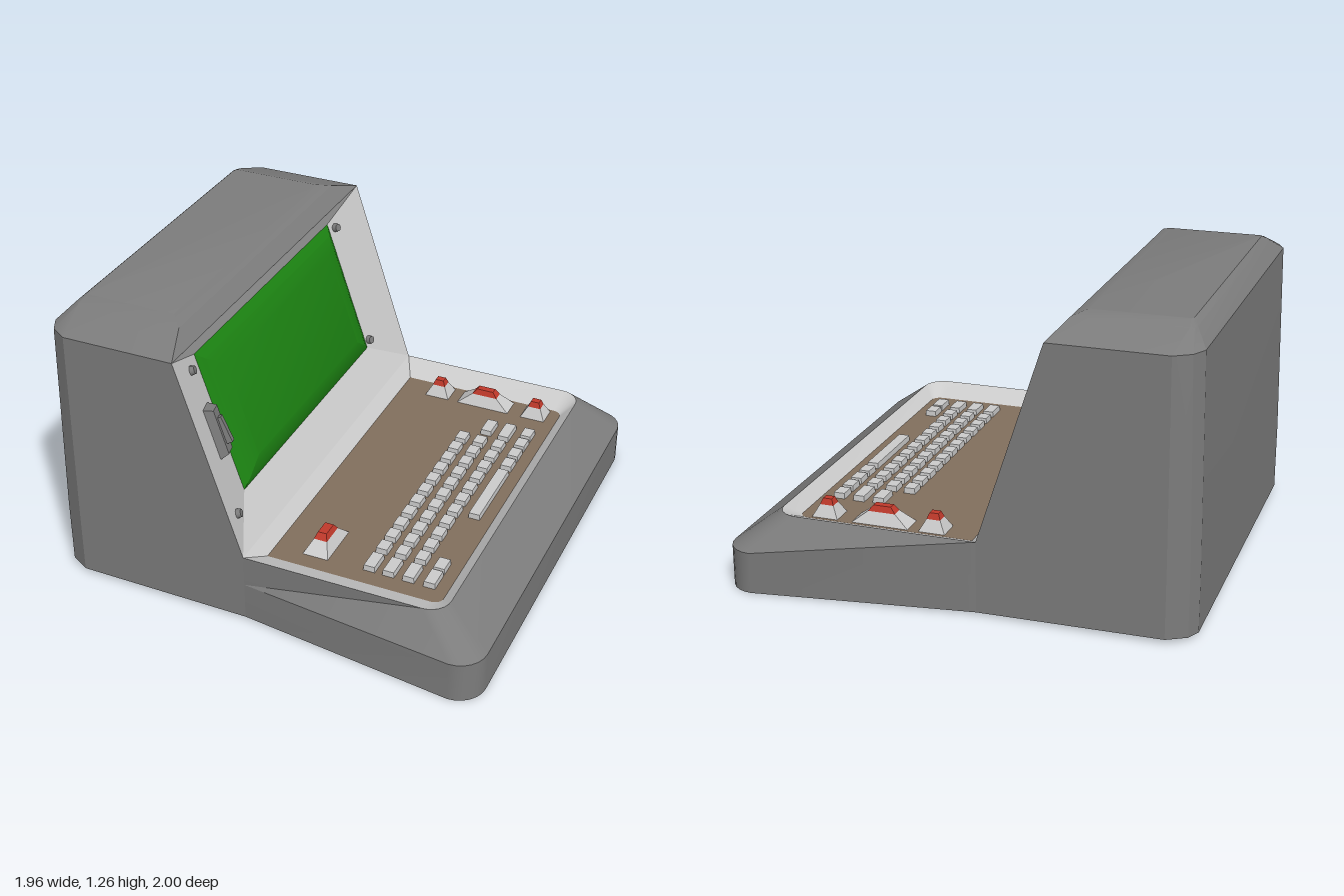
import * as THREE from 'three';
import { toCreasedNormals } from 'three/addons/utils/BufferGeometryUtils.js';

const paint = (color) => new THREE.MeshStandardMaterial({ color });
const SHELL = paint(0x7c7c7c), LIGHT = paint(0xcccccc), BROWN = paint(0x826f5d);
const GREEN = paint(0x1c8212), RED = paint(0xc0392b);

// Joins rings of [x, y, z] points into a skin, with optional flat caps.
function loft(rings, { closed = true, start = false, end = false } = {}) {
  const pos = [];
  const tri = (...pts) => pts.forEach((p) => pos.push(...p));
  const n = rings[0].length;
  for (let i = 0; i < rings.length - 1; i++) {
    for (let j = 0; j < (closed ? n : n - 1); j++) {
      const k = (j + 1) % n;
      const [a, b, c, d] = [rings[i][j], rings[i][k], rings[i + 1][k], rings[i + 1][j]];
      tri(a, b, c);
      tri(a, c, d);
    }
  }
  const last = rings[rings.length - 1];
  for (let j = 1; j < n - 1; j++) {
    if (start) tri(rings[0][0], rings[0][j + 1], rings[0][j]);
    if (end) tri(last[0], last[j], last[j + 1]);
  }
  const geo = new THREE.BufferGeometry();
  geo.setAttribute('position', new THREE.Float32BufferAttribute(pos, 3));
  return toCreasedNormals(geo, 0.35);
}

function add(parent, name, geo, mat, x = 0, y = 0, z = 0) {
  const mesh = new THREE.Mesh(geo, mat);
  mesh.name = name;
  mesh.position.set(x, y, z);
  parent.add(mesh);
  return mesh;
}

// Horizontal rectangle ring, and a block tapering from one to another.
const rect = (w, d, y) => [[-w / 2, y, d / 2], [w / 2, y, d / 2], [w / 2, y, -d / 2], [-w / 2, y, -d / 2]];
const frustum = (w, d, w2, d2, h) => loft([rect(w, d, 0), rect(w2, d2, h)], { start: true, end: true });

// Keyboard outline: straight back, flared sides, rounded front corners.
function deckRing(xBack, zBack, xFront, zFront, r, y) {
  const half = [[xBack, zBack]];
  for (let i = 0; i <= 6; i++) {
    const a = (Math.PI / 2) * (1 - i / 6);
    half.push([xFront - r + r * Math.cos(a), zFront - r + r * Math.sin(a)]);
  }
  const all = [...half, ...half.slice().reverse().map(([x, z]) => [x, -z])];
  return all.map(([x, z]) => [x, typeof y === 'function' ? y(x) : y, z]);
}

// Tower outline, running from the front of the -z side round the back to +z.
function towerRing(y, xFront, z, xBack, zBack, xMid, zMid, xSide) {
  const half = [[xFront, z], [xSide, z], [xMid, zMid], [xBack, zBack]];
  const all = [...half.map(([x, w]) => [x, -w]), ...half.slice().reverse()];
  return all.map(([x, w]) => [x, typeof y === 'function' ? y(x) : y, w]);
}

// Sloping monitor face: outer edge line and recessed inner edge line.
const outerX = (y) => -0.09 - (y - 0.32) * 0.3256;
const innerX = (y) => -0.205 - (y - 0.47) * 0.336;
const panelX = (y, z) => THREE.MathUtils.lerp(outerX(y), innerX(y), (0.885 - Math.abs(z)) / 0.245);
const faceRing = (hz, lo, hi, fx) =>
  [[hz, lo], [-hz, lo], [-hz, hi], [hz, hi]].map(([z, y]) => [fx(y), y, z]);

export function createModel() {
  const model = new THREE.Group();
  model.name = 'desktopTerminal';
  const floorY = 0.27;
  const under = (x) => 0.01 * (0.98 - x);

  // Keyboard deck with its sunken well
  const rim = deckRing(-0.09, 0.885, 0.79, 0.885, 0.09, 0.32);
  const floor = deckRing(-0.035, 0.775, 0.735, 0.775, 0.04, floorY);
  add(model, 'keyboardShell', loft([
    deckRing(-0.09, 0.885, 0.98, 1, 0.12, under),
    deckRing(-0.09, 0.885, 0.98, 1, 0.12, 0.18),
    rim,
  ], { start: true }), SHELL);
  add(model, 'keyboardWell', loft([rim, floor]), LIGHT);
  add(model, 'keyboardPanel', loft([floor], { end: true }), BROWN);

  // Monitor housing: open-fronted walls and a bevelled roof
  const eaves = towerRing(1.18, -0.37, 0.885, -0.968, 0.775, -0.935, 0.84, -0.865);
  const walls = (y) => towerRing(y, -0.09, 0.885, -0.982, 0.785, -0.953, 0.84, -0.87);
  add(model, 'monitorWalls', loft([walls(under), walls(0.32), eaves], { closed: false, start: true }), SHELL);
  add(model, 'monitorRoof', loft([
    eaves,
    towerRing(1.24, -0.425, 0.72, -0.912, 0.68, -0.905, 0.7, -0.89),
    towerRing(1.26, -0.48, 0.66, -0.89, 0.64, -0.887, 0.653, -0.88),
  ], { end: true }), SHELL);

  // Bezel and bulging screen
  add(model, 'screenBezel', loft([
    faceRing(0.885, 0.32, 1.18, outerX),
    faceRing(0.64, 0.47, 1.08, innerX),
  ]), LIGHT);
  add(model, 'screen', loft([
    faceRing(0.64, 0.47, 1.08, innerX),
    faceRing(0.6, 0.505, 1.045, (y) => innerX(y) + 0.02),
    faceRing(0.51, 0.57, 0.985, (y) => innerX(y) + 0.04),
  ], { end: true }), GREEN);

  // Fittings that lie on the angled side panels of the bezel
  const onPanel = (name, y, z) => {
    const g = new THREE.Group();
    g.name = name;
    g.position.set(panelX(y, z), y, z);
    g.rotation.set(0, Math.sign(z) * 0.27, 0.32, 'ZYX');
    model.add(g);
    return g;
  };
  for (const [y, z] of [[1.06, 0.73], [1.05, -0.68], [0.5, -0.665], [0.46, 0.79]]) {
    const screw = onPanel('bezelScrew', y, z);
    add(screw, 'screwHead', new THREE.CylinderGeometry(0.017, 0.021, 0.024, 12), SHELL, 0.008).rotation.z = -Math.PI / 2;
  }
  const latch = onPanel('powerSwitch', 0.79, 0.722);
  add(latch, 'switchPlate', frustum(0.23, 0.075, 0.2, 0.06, 0.04), SHELL).rotation.z = -Math.PI / 2;
  add(latch, 'switchRocker', new THREE.BoxGeometry(0.03, 0.12, 0.026), SHELL, 0.045).rotation.z = 0.1;

  // Red buttons on tapered plinths: x, z, width, depth
  const buttons = [
    [0.148, -0.71, 0.115, 0.1], [0.378, -0.71, 0.25, 0.1],
    [0.625, -0.71, 0.115, 0.1], [0.148, 0.593, 0.115, 0.215],
  ];
  for (const [x, z, w, d] of buttons) {
    const g = new THREE.Group();
    g.name = 'controlButton';
    g.position.set(x, floorY, z);
    const [rw, rd] = [w > 0.2 ? 0.12 : 0.06, d > 0.2 ? 0.11 : 0.05];
    add(g, 'buttonPlinth', frustum(w, d, rw, rd, 0.05), LIGHT);
    add(g, 'buttonCap', frustum(rw, rd, rw * 0.65, rd * 0.65, 0.026), RED, 0, 0.05);
    model.add(g);
  }

  // Keys, column by column
  const keys = new THREE.Group();
  keys.name = 'keys';
  model.add(keys);
  const key = (x, z0, z1) =>
    add(keys, 'key', frustum(0.052, z1 - z0, 0.048, z1 - z0 - 0.004, 0.025), LIGHT, x, floorY, (z0 + z1) / 2);
  for (const x of [0.39, 0.475, 0.563]) {
    for (let i = 0; i < 11; i++) key(x, -0.405 + i * 0.0907, -0.338 + i * 0.0907);
    key(x, 0.595, 0.697);
  }
  key(0.475, -0.545, -0.447);
  key(0.563, -0.55, -0.431);
  for (let i = 0; i < 4; i++) key(0.655, -0.548 + i * 0.088, -0.477 + i * 0.088);
  key(0.655, -0.188, 0.183);
  key(0.655, 0.516, 0.592);
  key(0.655, 0.602, 0.697);

  return model;
}
